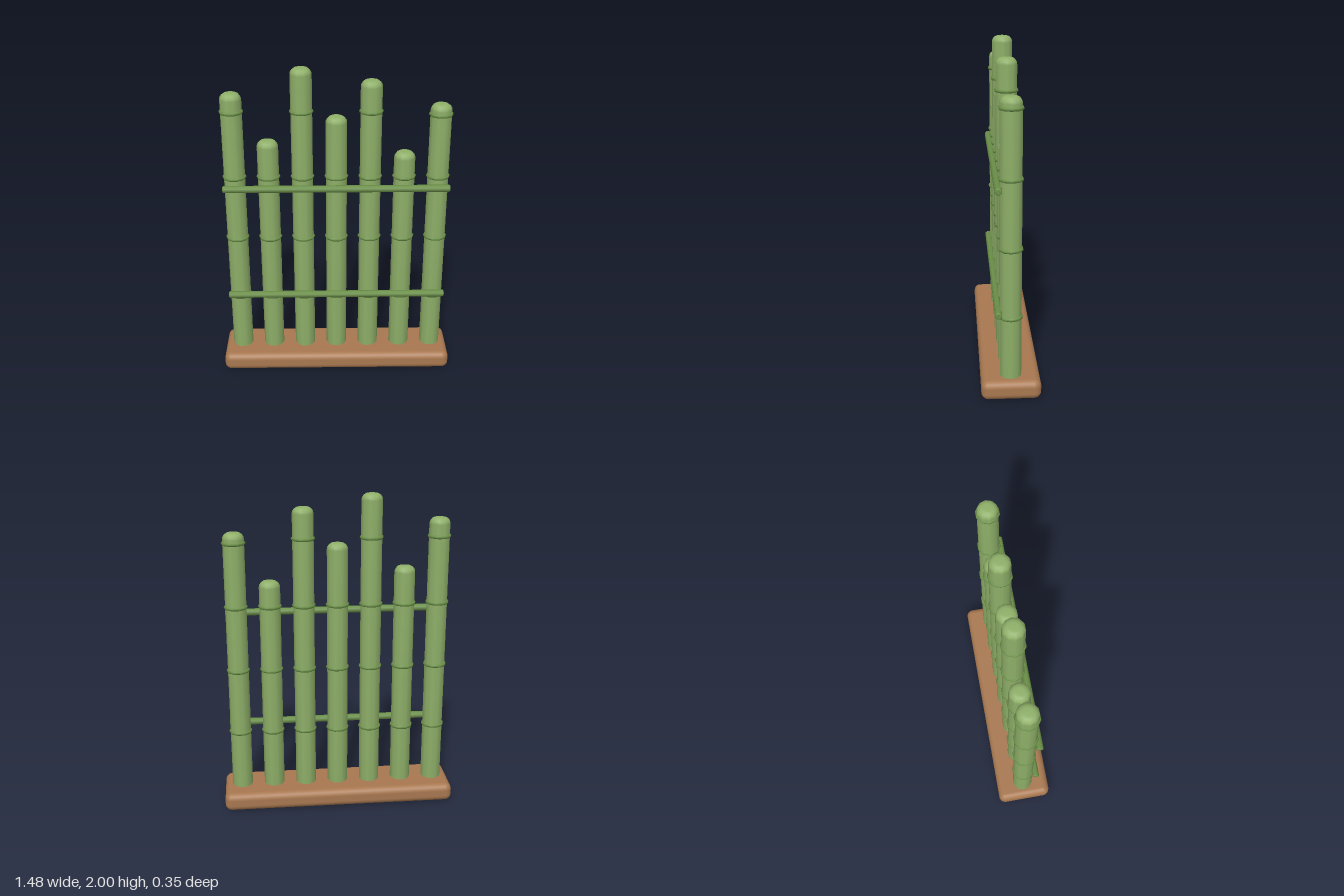
import * as THREE from 'three';
import { RoundedBoxGeometry } from 'three/addons/geometries/RoundedBoxGeometry.js';

const SIDES = 10;
const RADIUS = 0.065;
const SPACING = 0.208;
const HEIGHTS = [1.85, 1.555, 2, 1.705, 1.925, 1.48, 1.78];
const NODES = [0.495, 0.91, 1.32, 1.735];

const material = (color) => new THREE.MeshStandardMaterial({ color });

// Profile of a solid rod from y0 to y1 with rounded rims
function rodProfile(r, y0, y1, round, roundBottom) {
  const pts = [new THREE.Vector2(0, y0)];
  const steps = 4;
  const rim = (y, dir) => {
    const arc = [];
    for (let i = 0; i <= steps; i++) {
      const a = (i / steps) * Math.PI / 2;
      arc.push(new THREE.Vector2(r - round + round * Math.cos(a), y + dir * (round * Math.sin(a) - round)));
    }
    return arc;
  };
  if (roundBottom) pts.push(...rim(y0, -1).reverse());
  else pts.push(new THREE.Vector2(r, y0));
  pts.push(...rim(y1, 1), new THREE.Vector2(0, y1));
  return pts;
}

export function createModel() {
  const model = new THREE.Group();
  model.name = 'bambooFence';
  const caneMat = material(0x8fb069);
  const bindingMat = material(0x6b9048);
  const woodMat = material(0xa87850);

  const add = (name, geometry, mat, parent = model) => {
    const mesh = new THREE.Mesh(geometry, mat);
    mesh.name = name;
    parent.add(mesh);
    return mesh;
  };

  // Wooden base
  add('base', new RoundedBoxGeometry(1.475, 0.118, 0.352, 4, 0.042), woodMat).position.y = 0.06;

  // Node ring shared by all canes, its corners matching the cane's
  const ringGeo = new THREE.TorusGeometry(RADIUS - 0.003, 0.0115, 8, SIDES).rotateX(Math.PI / 2);

  // Upright canes with node rings
  HEIGHTS.forEach((h, i) => {
    const cane = new THREE.Group();
    cane.name = `cane${i + 1}`;
    cane.position.x = (i - 3) * SPACING;
    model.add(cane);
    const stalk = new THREE.LatheGeometry(rodProfile(RADIUS, 0.08, h, 0.04, false), SIDES, Math.PI / 2);
    add('stalk', stalk, caneMat, cane);
    for (const y of NODES) {
      if (y < h) add('nodeRing', ringGeo, bindingMat, cane).position.y = Math.min(y, h - 0.065);
    }
  });

  // Two horizontal rails across the front
  const railGeo = new THREE.LatheGeometry(rodProfile(0.022, -0.694, 0.694, 0.008, true), 8, Math.PI / 8)
    .rotateZ(Math.PI / 2);
  for (const [name, y] of [['lowerRail', 0.524], ['upperRail', 1.264]]) {
    add(name, railGeo, bindingMat).position.set(0, y, 0.073);
  }
  return model;
}
